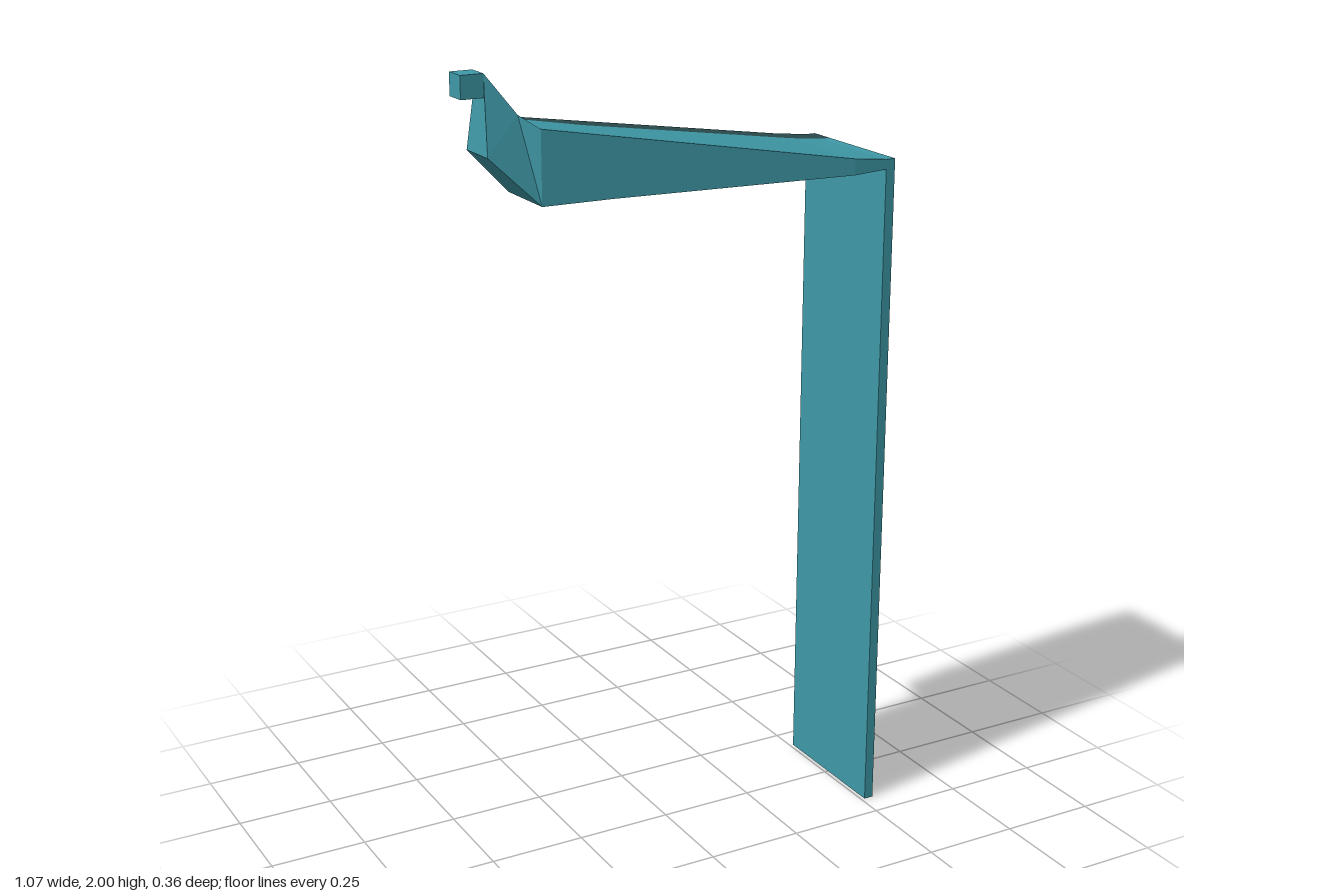
import * as THREE from 'three';

const teal = new THREE.MeshStandardMaterial({ color: 0x3f9aa8 });
teal.name = 'teal';
const dark = new THREE.MeshStandardMaterial({ color: 0x2a4a4d });
dark.name = 'darkTeal';

// Box from min and max corners; material may be one or an array of six
function box(name, [x0, y0, z0], [x1, y1, z1], material) {
  const geometry = new THREE.BoxGeometry(x1 - x0, y1 - y0, z1 - z0);
  const mesh = new THREE.Mesh(geometry, material);
  mesh.position.set((x0 + x1) / 2, (y0 + y1) / 2, (z0 + z1) / 2);
  mesh.name = name;
  return mesh;
}

// Cross-section: front bottom, front top, stripe edge, back top, back band, back bottom
function section(xTop, yTop, zTop, xLow, yLow, zLow, zBackLow, stripe, band) {
  const f = band / (yTop - yLow);
  return [
    [xLow, yLow, zLow],
    [xTop, yTop, zTop],
    [xTop, yTop, stripe],
    [xTop, yTop, -zTop],
    [xTop + (xLow - xTop) * f, yTop - band, -zTop + (zBackLow + zTop) * f],
    [xLow, yLow, zBackLow],
  ];
}

// Flat-faced skin through the cross-sections, keeping only the chosen strips
function skin(name, rings, strips, material) {
  const positions = [];
  for (let i = 0; i < rings.length - 1; i++) {
    for (const j of strips) {
      const k = (j + 1) % 6;
      const a = rings[i][j], b = rings[i][k], c = rings[i + 1][k], d = rings[i + 1][j];
      positions.push(...a, ...b, ...c, ...a, ...c, ...d);
    }
  }
  const geometry = new THREE.BufferGeometry();
  geometry.setAttribute('position', new THREE.Float32BufferAttribute(positions, 3));
  geometry.computeVertexNormals();
  const mesh = new THREE.Mesh(geometry, material);
  mesh.name = name;
  return mesh;
}

export function createModel() {
  const model = new THREE.Group();
  model.name = 'bracket';

  // Upright panel, striped along the back of its outer face and top
  model.add(box('uprightPanel', [0.51, 0, -0.11], [0.535, 1.735, 0.18], teal));
  model.add(box('uprightStripe', [0.51, 0, -0.18], [0.535, 1.735, -0.11],
    [dark, teal, dark, teal, teal, teal]));

  // Tapering arm that turns up into a narrow neck
  const rings = [
    section(0.51, 1.735, 0.18, 0.51, 1.71, 0.18, -0.18, -0.11, 0.004),
    section(0.42, 1.745, 0.18, 0.42, 1.705, 0.18, -0.18, -0.11, 0.01),
    section(-0.2, 1.847, 0.11, -0.2, 1.701, 0.11, -0.11, -0.04, 0.025),
    section(-0.37, 1.875, 0.09, -0.37, 1.697, 0.09, -0.09, -0.055, 0.025),
    section(-0.41, 1.905, 0.055, -0.49, 1.815, 0.063, -0.052, -0.02, 0.012),
    section(-0.48, 2, 0.03, -0.48, 1.945, 0.03, -0.03, -0.01, 0.004),
  ];
  const arm = new THREE.Group();
  arm.name = 'arm';
  arm.add(skin('armBody', rings, [0, 1, 4, 5], teal));
  arm.add(skin('armStripe', rings, [2, 3], dark));
  model.add(arm);

  // Square peg at the tip of the neck
  model.add(box('tipPeg', [-0.537, 1.945, -0.03], [-0.48, 2, 0.03], teal));
  return model;
}
